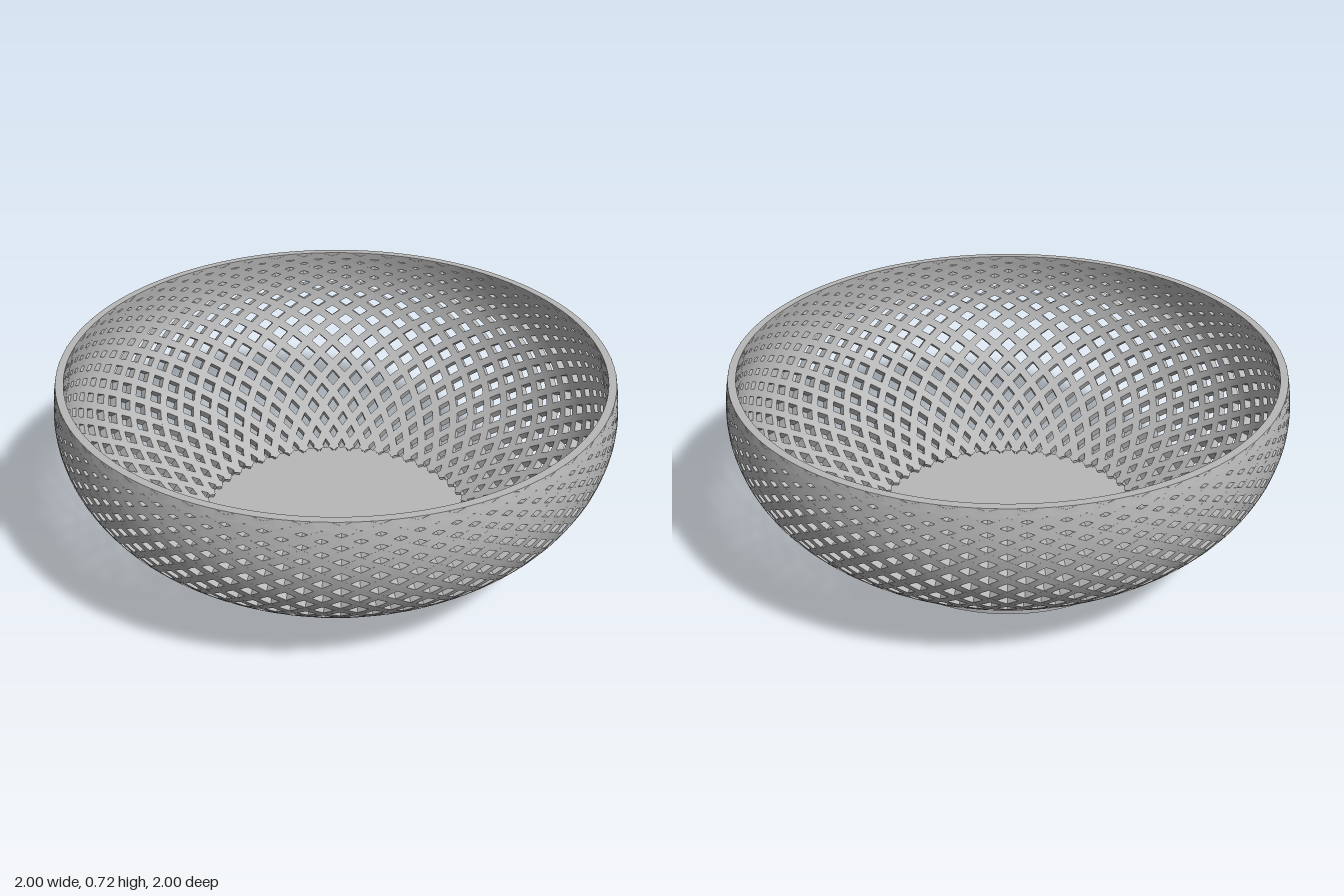
import * as THREE from 'three';
import { mergeGeometries, toCreasedNormals } from 'three/addons/utils/BufferGeometryUtils.js';

const STRANDS = 52; // strands in each spiral direction
const PITCH = (Math.PI * 2) / STRANDS;
const WALL = 0.03;
const SEGMENTS = 48;

// Outer wall profile: radius, height, and how many strand pitches the spiral has turned
const profile = new THREE.CatmullRomCurve3([
  [0.52, 0.03, -0.16], [0.54, 0.042, 0.04], [0.665, 0.12, 1.25], [0.785, 0.2, 2.35],
  [0.89, 0.3, 3.6], [0.955, 0.4, 4.8], [0.99, 0.5, 6.15], [1.0, 0.58, 7.45],
  [0.995, 0.66, 9.1], [0.988, 0.708, 10.3],
].map((p) => new THREE.Vector3(...p)));

// Point on the wall for a strand turning in direction dir (+1 or -1)
function wallPoint(t, dir) {
  const p = profile.getPoint(t);
  const a = dir * p.z * PITCH;
  return new THREE.Vector3(p.x * Math.sin(a), p.y, p.x * Math.cos(a));
}

// One spiral strand: a rectangular section swept up the wall, with crisp edges
function strandGeometry(dir) {
  const rings = [];
  for (let s = 0; s <= SEGMENTS; s++) {
    const t = s / SEGMENTS;
    const t0 = Math.max(0, t - 0.004), t1 = Math.min(1, t + 0.004);
    const centre = wallPoint(t, dir);
    const along = wallPoint(t1, dir).sub(wallPoint(t0, dir)).normalize();
    const p0 = profile.getPoint(t0), p1 = profile.getPoint(t1);
    const a = dir * profile.getPoint(t).z * PITCH;
    const dr = p1.x - p0.x, dy = p1.y - p0.y;
    const normal = new THREE.Vector3(dy * Math.sin(a), -dr, dy * Math.cos(a)).normalize();
    const half = 0.0155 - 0.003 * t * t;
    const side = new THREE.Vector3().crossVectors(normal, along).multiplyScalar(half);
    const inner = centre.clone().addScaledVector(normal, -WALL);
    rings.push([
      centre.clone().add(side), centre.clone().sub(side),
      inner.clone().sub(side), inner.clone().add(side),
    ]);
  }
  const positions = [], index = [];
  for (let k = 0; k < 4; k++) {
    const base = positions.length / 3;
    rings.forEach((ring, s) => {
      positions.push(...ring[k].toArray(), ...ring[(k + 1) % 4].toArray());
      if (s < SEGMENTS) {
        const i = base + s * 2;
        index.push(i, i + 1, i + 2, i + 1, i + 3, i + 2);
      }
    });
  }
  const geo = new THREE.BufferGeometry();
  geo.setAttribute('position', new THREE.Float32BufferAttribute(positions, 3));
  geo.setIndex(index);
  geo.computeVertexNormals();
  return geo;
}

export function createModel() {
  const bowl = new THREE.Group();
  bowl.name = 'latticeBowl';
  const grey = new THREE.MeshStandardMaterial({ color: 0xb8b8b8 });
  grey.name = 'grey';

  const add = (name, geometry) => {
    const mesh = new THREE.Mesh(geometry, grey);
    mesh.name = name;
    bowl.add(mesh);
    return mesh;
  };

  // Solid foot that also forms the bowl floor
  add('foot', new THREE.CylinderGeometry(0.535, 0.535, 0.042, 128)).position.y = 0.021;

  // Two mirrored families of spiral strands
  for (const [name, dir] of [['leftStrands', 1], ['rightStrands', -1]]) {
    const strand = strandGeometry(dir);
    const copies = [];
    for (let i = 0; i < STRANDS; i++) copies.push(strand.clone().rotateY(i * PITCH));
    add(name, mergeGeometries(copies));
  }

  // Plain rim band
  const rim = [
    [0.991, 0.692], [0.985, 0.72], [0.957, 0.72], [0.961, 0.692], [0.991, 0.692],
  ].map((p) => new THREE.Vector2(...p));
  add('rim', toCreasedNormals(new THREE.LatheGeometry(rim, 128), 0.6));

  return bowl;
}
